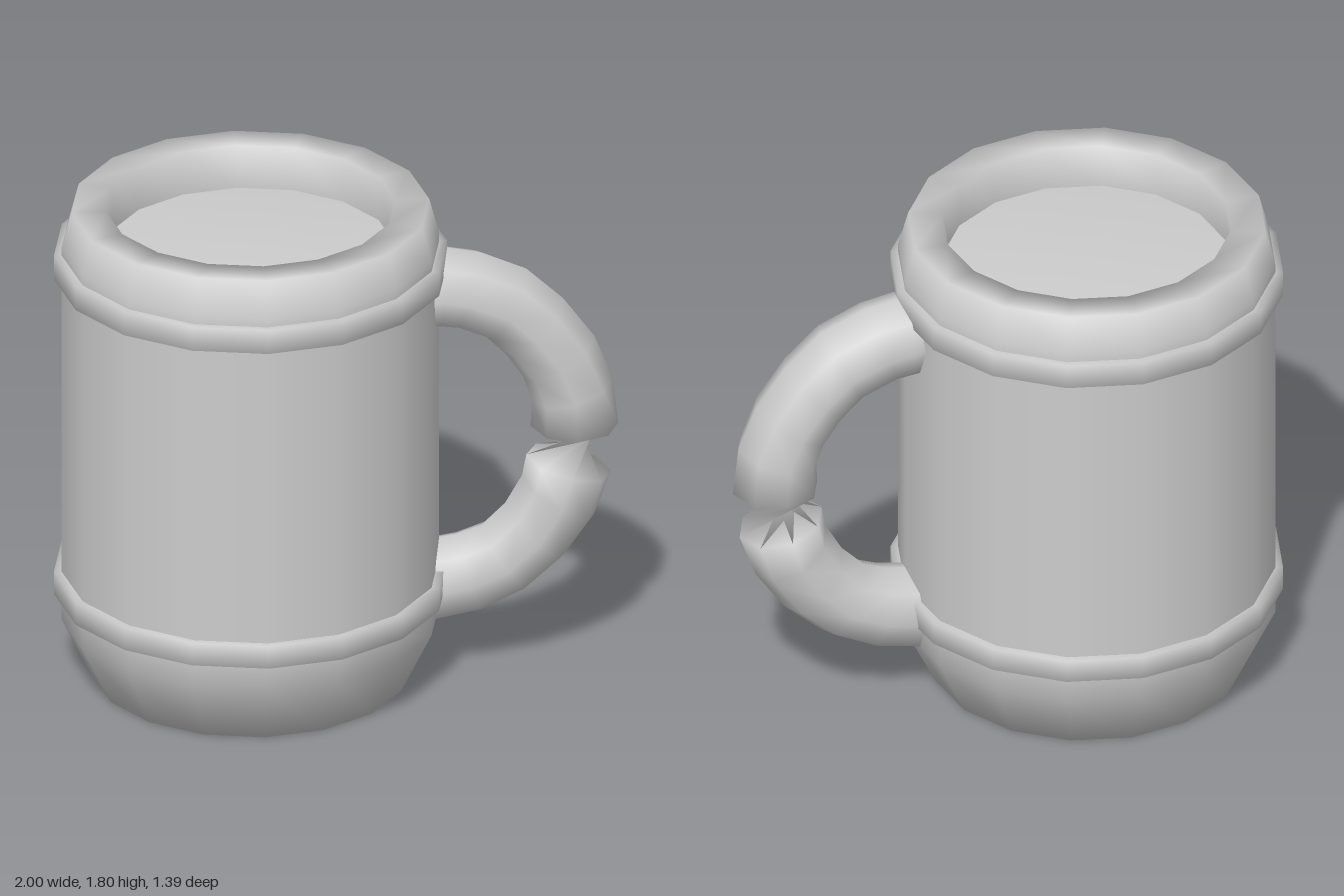
import * as THREE from 'three';

const SIDES = 16;
const AXIS_X = -0.305;

const clay = new THREE.MeshStandardMaterial({ color: 0xcccccc, side: THREE.DoubleSide });
clay.name = 'plain grey';

// Turned part around the mug's axis, smooth across its profile
function turned(name, profile) {
  const points = profile.map(([r, y]) => new THREE.Vector2(r, y));
  const mesh = new THREE.Mesh(new THREE.LatheGeometry(points, SIDES), clay);
  mesh.name = name;
  mesh.position.x = AXIS_X;
  return mesh;
}

// Eight-sided tube through rings given as [outer x, outer y, inner x, inner y]
function ringTube(rings, halfWidth) {
  const n = 8, positions = [], index = [];
  rings.forEach(([ox, oy, ix, iy, turn = 1], i) => {
    for (let k = 0; k < n; k++) {
      const a = (k / n) * Math.PI * 2;
      const c = Math.cos(a) * turn, s = Math.sin(a) * turn;
      positions.push((ox + ix) / 2 + c * (ox - ix) / 2, (oy + iy) / 2 + c * (oy - iy) / 2, s * halfWidth);
      if (i === rings.length - 1) continue;
      const a0 = i * n + k, a1 = i * n + (k + 1) % n;
      index.push(a0, a1, a0 + n, a1, a1 + n, a0 + n);
    }
  });
  const geometry = new THREE.BufferGeometry();
  geometry.setAttribute('position', new THREE.Float32BufferAttribute(positions, 3));
  geometry.setIndex(index);
  geometry.computeVertexNormals();
  return geometry;
}

export function createModel() {
  const mug = new THREE.Group();
  mug.name = 'mug';

  // Closed body; its flat top is the surface inside the rim
  mug.add(turned('body', [
    [0, 0], [0.555, 0], [0.667, 0.23], [0.667, 0.34], [0.667, 1.56], [0.667, 1.64], [0, 1.64],
  ]));

  // Thick rim with a bevelled outside and a straight inner wall
  mug.add(turned('rim', [
    [0.667, 1.63], [0.667, 1.675], [0.632, 1.805], [0.51, 1.805], [0.51, 1.63],
  ]));

  // Raised bands
  for (const [name, low, high] of [['lowerBand', 0.33, 0.415], ['upperBand', 1.55, 1.64]]) {
    mug.add(turned(name, [[0.655, low], [0.695, low], [0.695, high], [0.655, high]]));
  }

  // Handle: two arcs joined by a half-turn twist that pinches the middle
  const upperArc = [
    [0.31, 1.62, 0.31, 1.32], [0.38, 1.615, 0.36, 1.315], [0.51, 1.59, 0.41, 1.31],
    [0.67, 1.52, 0.53, 1.26], [0.80, 1.40, 0.60, 1.19], [0.91, 1.25, 0.66, 1.10],
    [0.975, 1.09, 0.69, 1.01], [0.995, 0.91, 0.685, 0.91],
  ];
  const lowerArc = [
    [0.97, 0.725, 0.67, 0.80], [0.91, 0.56, 0.655, 0.72], [0.805, 0.41, 0.595, 0.615],
    [0.675, 0.295, 0.51, 0.53], [0.51, 0.215, 0.42, 0.50], [0.335, 0.18, 0.35, 0.49],
    [0.30, 0.18, 0.30, 0.48],
  ];
  const rings = [...upperArc, ...lowerArc.map((ring) => [...ring, -1])];
  const handle = new THREE.Mesh(ringTube(rings, 0.155), clay);
  handle.name = 'handle';
  mug.add(handle);

  return mug;
}
